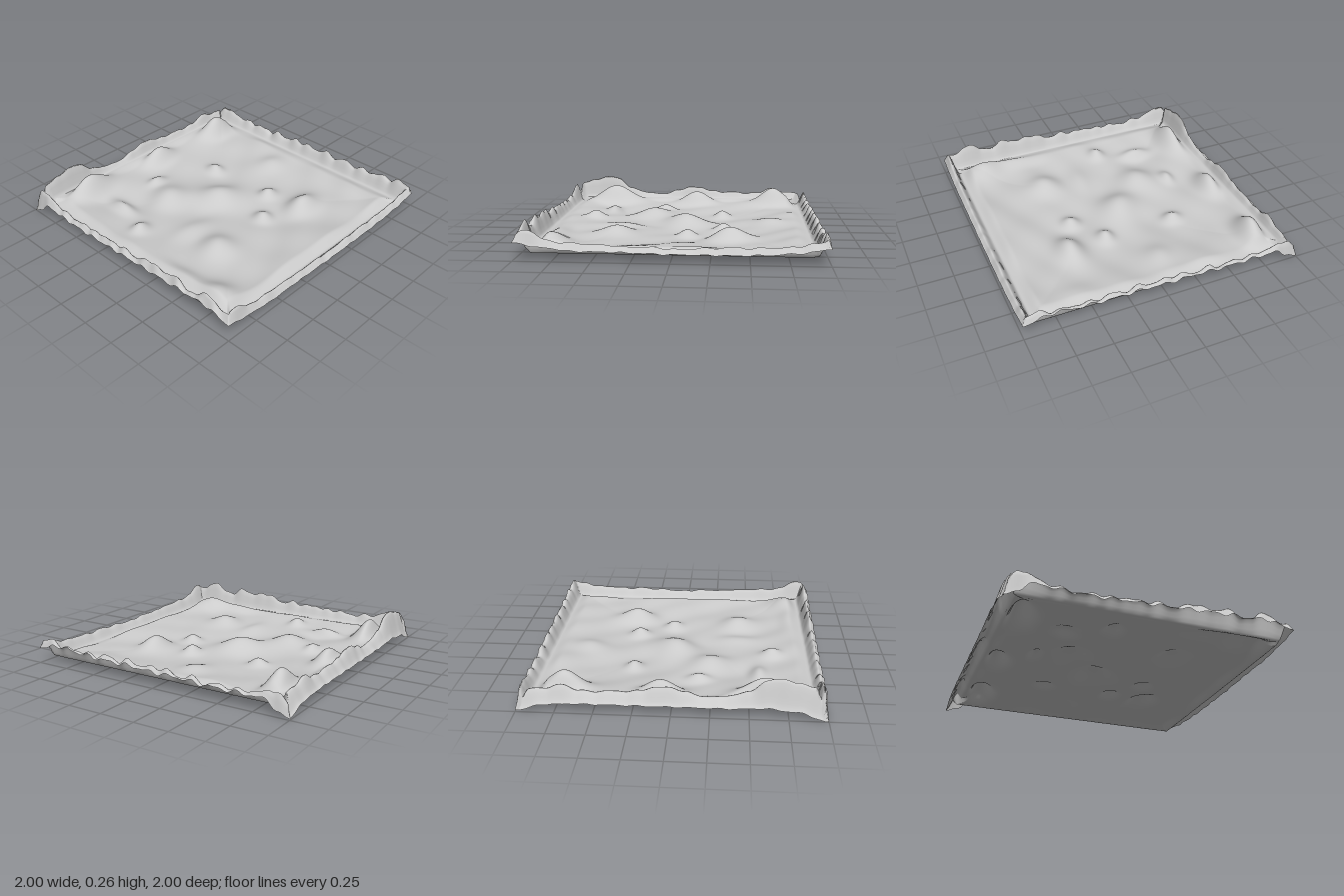
import * as THREE from 'three';

// Hills: x, z, height, radius x, radius z
const HILLS = [
  [-0.62, -0.82, 0.13, 0.2, 0.11], [0.08, -0.8, 0.1, 0.16, 0.09], [0.72, -0.78, 0.15, 0.16, 0.1],
  [-0.57, -0.48, 0.05, 0.07, 0.14], [-0.16, -0.57, 0.045, 0.09, 0.06], [-0.24, -0.32, 0.065, 0.17, 0.16],
  [0.3, -0.38, 0.05, 0.07, 0.08], [0.02, -0.08, 0.08, 0.18, 0.16], [-0.67, -0.18, 0.05, 0.08, 0.07],
  [0.66, -0.1, 0.04, 0.14, 0.12], [0.32, 0.16, 0.055, 0.08, 0.07], [0.07, 0.33, 0.055, 0.08, 0.08],
  [-0.42, 0.36, 0.065, 0.15, 0.15], [0.36, 0.45, 0.085, 0.16, 0.11], [-0.4, 0.08, 0.03, 0.2, 0.1],
  [-0.8, 0.72, 0.05, 0.13, 0.15], [0.8, 0.6, 0.02, 0.12, 0.2], [-0.82, 0.4, 0.03, 0.08, 0.2],
];

// Each side, evenly spaced from -1 to 1: ridge and outer edge heights; then the
// distances of ridge and ditch from the edge, the ditch height and the ripple
const SIDES = {
  back: {
    ridge: [0.1, 0.22, 0.24, 0.27, 0.25, 0.17, 0.14, 0.12, 0.12, 0.15, 0.18, 0.18, 0.15, 0.14, 0.14, 0.13, 0.14, 0.18, 0.15, 0.14, 0.1],
    edge: [0, 0.06, 0.08, 0.07, 0.07, 0.07, 0.07, 0.07, 0.07, 0.06, 0.01],
    top: 0.065, foot: 0.1, ditch: 0.09, ripple: 0.003,
  },
  front: {
    ridge: [0.18, 0.2, 0.14, 0.12, 0.12, 0.11, 0.11, 0.1, 0.1, 0.1, 0.09, 0.09, 0.1, 0.1, 0.11, 0.1, 0.11, 0.11, 0.12, 0.14, 0.16],
    edge: [0.12, 0.09, 0.07, 0.07, 0.065, 0.06, 0.06, 0.06, 0.065, 0.08, 0.11],
    top: 0.03, foot: 0.09, ditch: 0.035, ripple: 0.003,
  },
  left: {
    ridge: [0.1, 0.21, 0.17, 0.14, 0.13, 0.12, 0.14, 0.13, 0.15, 0.14, 0.16, 0.14, 0.17, 0.2, 0.17, 0.21, 0.16, 0.17, 0.24, 0.17, 0.18],
    edge: [0, 0.11, 0.1, 0.1, 0.11, 0.12, 0.13, 0.14, 0.15, 0.16, 0.12],
    top: 0.03, foot: 0.08, ditch: 0.06, ripple: 0.009,
  },
  right: {
    ridge: [0.08, 0.16, 0.13, 0.12, 0.11, 0.12, 0.1, 0.13, 0.11, 0.14, 0.14, 0.13, 0.15, 0.13, 0.15, 0.13, 0.14, 0.14, 0.15, 0.18, 0.16],
    edge: [0.01, 0.1, 0.1, 0.1, 0.11, 0.11, 0.12, 0.12, 0.13, 0.15, 0.11],
    top: 0.02, foot: 0.075, ditch: 0.045, ripple: 0.01,
  },
};

const mix = THREE.MathUtils.lerp;
const smooth = (t) => THREE.MathUtils.smoothstep(t, 0, 1);

function sample(list, t) {
  const p = (t + 1) / 2 * (list.length - 1);
  const i = Math.min(Math.floor(p), list.length - 2);
  return mix(list[i], list[i + 1], smooth(p - i));
}

// Rolling floor, rising towards the border, with its hills
function ground(x, z) {
  let y = 0.029 + 0.068 * Math.max(Math.abs(x), Math.abs(z)) ** 3 - 0.007 * x;
  y += 0.009 * Math.sin(7 * x + 2 * z) * Math.cos(8 * z - x);
  y += 0.004 * Math.sin(13 * x - 9 * z) + 0.003 * Math.sin(11 * x + 21 * z);
  for (const [hx, hz, h, rx, rz] of HILLS) {
    const r = ((x - hx) / rx) ** 2 + ((z - hz) / rz) ** 2;
    y += h * Math.exp(-r * 1.4);
  }
  return y;
}

// Border: outer edge, ridge, ditch, then the floor
function height(x, z) {
  const dx = 1 - Math.abs(x), dz = 1 - Math.abs(z), d = Math.min(dx, dz);
  const floor = ground(x, z);
  if (d > 0.18) return floor;
  const alongX = dz < dx;
  const side = SIDES[alongX ? (z < 0 ? 'back' : 'front') : (x < 0 ? 'left' : 'right')];
  const { top, foot, ditch } = side;
  const t = alongX ? x : z;
  const wave = side.ripple * smooth(Math.max(dx, dz) / 0.12) * (Math.sin(37 * t) + 0.6 * Math.sin(59 * t + 1));
  const ridge = sample(side.ridge, t) + wave;
  const edge = sample(side.edge, t) + wave;
  if (d < top) return mix(edge, ridge, smooth(d / top));
  if (d < foot) return mix(ridge, ditch, smooth((d - top) / (foot - top)));
  return mix(ditch, floor, smooth((d - foot) / (0.18 - foot)));
}

export function createModel() {
  const group = new THREE.Group();
  group.name = 'terrain';

  // One height-field sheet
  const geometry = new THREE.PlaneGeometry(2, 2, 200, 200).rotateX(-Math.PI / 2);
  const position = geometry.attributes.position;
  for (let i = 0; i < position.count; i++) {
    position.setY(i, height(position.getX(i), position.getZ(i)));
  }
  geometry.computeVertexNormals();

  const material = new THREE.MeshStandardMaterial({ color: 0xcccccc, side: THREE.DoubleSide });
  const land = new THREE.Mesh(geometry, material);
  land.name = 'hillyGround';
  group.add(land);
  return group;
}
